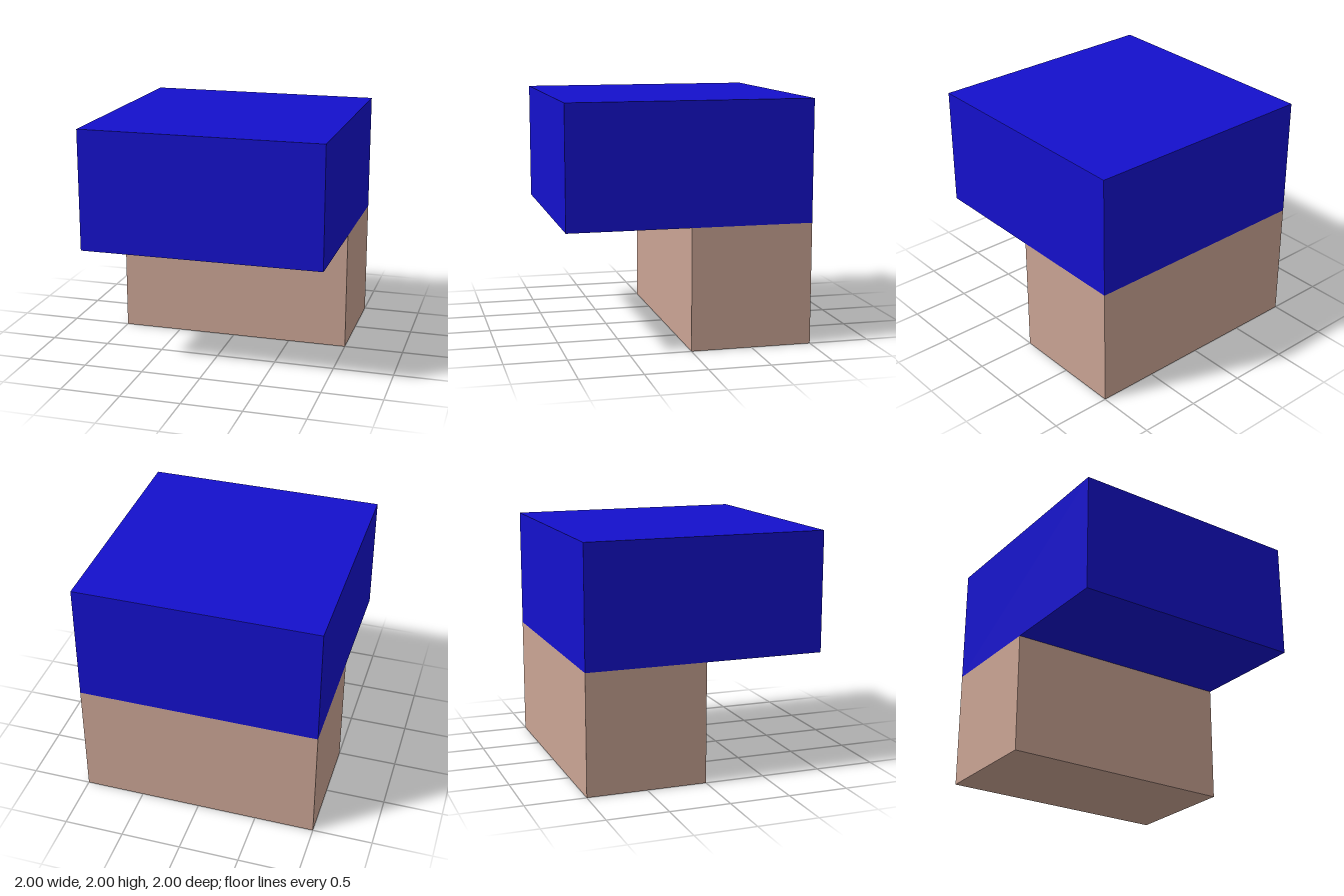
import * as THREE from 'three';

// Box placed by its size and the centre of its underside
function block(name, color, [w, h, d], [x, y, z]) {
  const geometry = new THREE.BoxGeometry(w, h, d);
  geometry.translate(0, h / 2, 0);
  const mesh = new THREE.Mesh(geometry, new THREE.MeshStandardMaterial({ color }));
  mesh.name = name;
  mesh.position.set(x, y, z);
  return mesh;
}

export function createModel() {
  const model = new THREE.Group();
  model.name = 'overhangingBlock';

  // Base under the rear half
  model.add(block('base', 0xcaa494, [2, 1, 1], [0, 0, -0.5]));

  // Full-depth cap that overhangs the base at the front
  model.add(block('cap', 0x1410cc, [2, 1, 2], [0, 1, 0]));

  return model;
}
